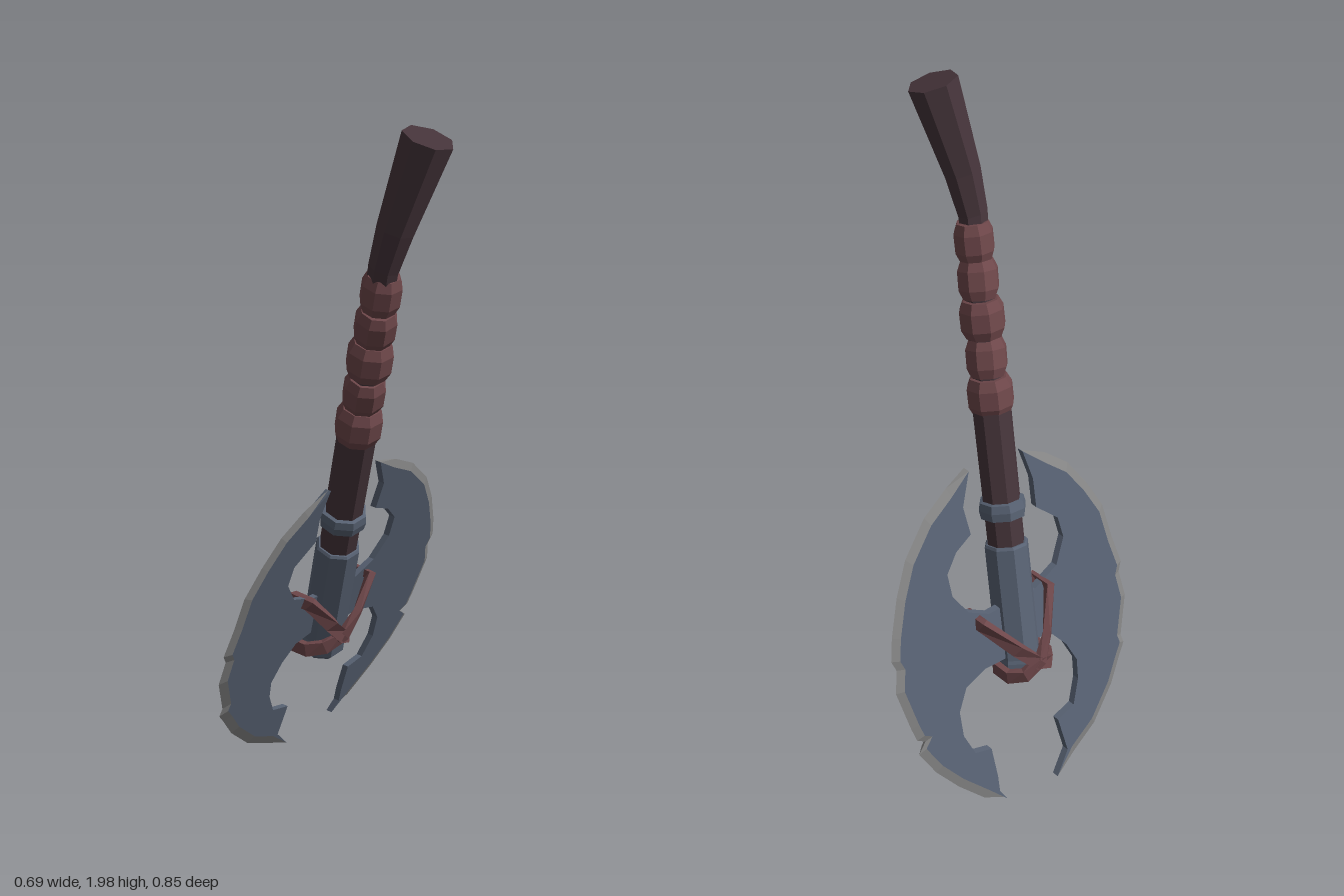
import * as THREE from 'three';

const mat = (name, color, side = THREE.FrontSide) => {
  const m = new THREE.MeshStandardMaterial({ color, side, flatShading: true });
  m.name = name;
  return m;
};

// Blade outlines as [z, y]
const outerLeft = [[.16, .94], [.24, .9], [.31, .84], [.36, .76], [.4, .675], [.41, .575], [.425, .49], [.41, .465],
  [.415, .39], [.37, .285], [.375, .26], [.35, .23], [.3, .165], [.21, .085], [.115, .04], [.035, .008]];
const lowerInner = [[.09, .065], [.08, .165], [.145, .18], [.18, .245], [.19, .3], [.165, .36], [.125, .41], [.055, .43],
  [-.045, .42], [-.125, .425], [-.2, .405], [-.24, .35], [-.245, .28], [-.22, .215], [-.165, .2], [-.165, .115], [-.17, .07]];
const outerRight = [[-.15, .035], [-.22, .07], [-.295, .145], [-.355, .22], [-.395, .295], [-.365, .32], [-.39, .335], [-.4, .375],
  [-.42, .49], [-.4, .55], [-.41, .58], [-.39, .64], [-.345, .735], [-.29, .82], [-.2, .9], [-.11, .945], [-.03, .965]];
const upperInner = [[-.075, .88], [-.07, .8], [-.13, .775], [-.175, .73], [-.175, .665], [-.135, .6], [-.07, .565],
  [.1, .56], [.19, .59], [.235, .655], [.23, .715], [.165, .775], [.175, .855]];

const THICK = 0.02;
const leanX = y => -0.345 + 0.323 * y; // blade plane leans with the handle
// Maps outline space (z, y, thickness) onto the leaning plane
const lean = new THREE.Matrix4().set(0, 0.323, -1, -0.345, 0, 1, 0, 0, 1, 0, 0, 0, 0, 0, 0, 1);

// Pull the outer edge toward the blade centre, keeping the tips in place
const inset = pts => pts.map(([z, y], i) =>
  i === 0 || i === pts.length - 1 ? [z, y] : [z * 0.945, 0.52 + (y - 0.52) * 0.945]);

function bladePlate() {
  const outline = [...inset(outerLeft), ...lowerInner, ...inset(outerRight), ...upperInner];
  const shape = new THREE.Shape(outline.map(p => new THREE.Vector2(...p)));
  const g = new THREE.ExtrudeGeometry(shape, { depth: THICK, bevelEnabled: false });
  g.translate(0, 0, -THICK / 2).applyMatrix4(lean);
  g.computeVertexNormals();
  return g;
}

// Sharpened bevel between the plate and the outer edge, on both faces
function cuttingEdge(outer) {
  const inner = inset(outer), pos = [];
  for (let i = 0; i < outer.length - 1; i++) {
    for (const s of [1, -1]) {
      const a = [...outer[i], 0], b = [...outer[i + 1], 0];
      const c = [...inner[i + 1], s * THICK / 2], d = [...inner[i], s * THICK / 2];
      pos.push(...(s > 0 ? [a, b, c, a, c, d] : [a, c, b, a, d, c]).flat());
    }
  }
  const g = new THREE.BufferGeometry();
  g.setAttribute('position', new THREE.Float32BufferAttribute(pos, 3));
  g.applyMatrix4(lean);
  g.computeVertexNormals();
  return g;
}

// Closed loop of flat strap; path points are [z, y, distance from the blade plane]
function strapLoop(mirror) {
  const half = [[.125, .56, .028], [.055, .475, .07], [.005, .42, .08], [-.045, .39, .062], [-.075, .38, .025]];
  const path = [...half, ...half.map(([z, y, o]) => [z, y, -o]).reverse()]
    .map(([z, y, o]) => new THREE.Vector3(o + leanX(y), y, mirror * z + 0.012));
  const n = path.length, pos = [], idx = [];
  path.forEach((p, i) => {
    const tangent = path[(i + 1) % n].clone().sub(path[(i + n - 1) % n]).normalize();
    const out = new THREE.Vector3(p.x - leanX(p.y), 0, p.z - 0.012);
    out.addScaledVector(tangent, -out.dot(tangent)).normalize();
    const wide = new THREE.Vector3().crossVectors(tangent, out);
    for (const [w, t] of [[-1, -1], [1, -1], [1, 1], [-1, 1]])
      pos.push(...p.clone().addScaledVector(wide, w * 0.019).addScaledVector(out, t * 0.01).toArray());
    for (let k = 0; k < 4; k++) {
      const a = i * 4 + k, b = i * 4 + (k + 1) % 4;
      const c = ((i + 1) % n) * 4 + (k + 1) % 4, d = ((i + 1) % n) * 4 + k;
      idx.push(a, b, c, a, c, d);
    }
  });
  const g = new THREE.BufferGeometry();
  g.setAttribute('position', new THREE.Float32BufferAttribute(pos, 3));
  g.setIndex(idx);
  g.computeVertexNormals();
  return g;
}

// Flared handle end that bends away from the shaft: rings [x, y, z, radius]
function flaredEnd() {
  const rings = [[.14, 1.55, .153, .04], [.158, 1.61, .163, .041], [.195, 1.72, .16, .05], [.272, 1.963, .127, .069]];
  const sides = 7, pos = [], idx = [];
  const up = new THREE.Vector3(.3, 1, -.13).normalize();
  const u = new THREE.Vector3(0, 0, 1).cross(up).negate().normalize();
  const v = new THREE.Vector3().crossVectors(u, up);
  rings.forEach(([x, y, z, r], i) => {
    for (let k = 0; k < sides; k++) {
      const a = k / sides * Math.PI * 2 + 0.3;
      pos.push(...new THREE.Vector3(x, y, z).addScaledVector(u, r * Math.cos(a)).addScaledVector(v, -r * Math.sin(a)).toArray());
      if (i === 0) continue;
      const a0 = (i - 1) * sides + k, a1 = (i - 1) * sides + (k + 1) % sides;
      idx.push(a0, a0 + sides, a1, a1, a0 + sides, a1 + sides);
    }
  });
  const top = (rings.length - 1) * sides;
  for (let k = 1; k < sides - 1; k++) idx.push(top, top + k + 1, top + k);
  const g = new THREE.BufferGeometry();
  g.setAttribute('position', new THREE.Float32BufferAttribute(pos, 3));
  g.setIndex(idx);
  g.computeVertexNormals();
  return g;
}

export function createModel() {
  const steel = mat('blue steel', 0x586273);
  const edge = mat('sharpened edge', 0x858585, THREE.DoubleSide);
  const wood = mat('dark wood', 0x45343a, THREE.DoubleSide);
  const leather = mat('red leather', 0x6e474a, THREE.DoubleSide);
  const model = new THREE.Group();
  model.name = 'battleAxe';
  const add = (parent, name, geometry, material) => {
    const mesh = new THREE.Mesh(geometry, material);
    mesh.name = name;
    parent.add(mesh);
    return mesh;
  };

  // Straight shaft, built upright then tilted along its axis
  const shaft = new THREE.Group();
  shaft.name = 'shaft';
  shaft.position.set(-0.225, 0.345, 0);
  shaft.quaternion.setFromUnitVectors(new THREE.Vector3(0, 1, 0), new THREE.Vector3(.375, 1.235, .155).normalize());
  model.add(shaft);
  const turned = (name, profile, material) =>
    add(shaft, name, new THREE.LatheGeometry(profile.map(p => new THREE.Vector2(...p)), 8, Math.PI / 8), material);

  turned('metalSleeve', [[0, 0], [.052, 0], [.066, .018], [.066, .05], [.063, .06], [.063, .39], [.058, .397], [0, .397]], steel);
  turned('woodenPole', [[.053, .38], [.055, .8], [.045, .84], [.04, 1.3]], wood);
  turned('metalCollar', [[.05, .472], [.064, .476], [.068, .5], [.064, .522], [.05, .526]], steel);

  // Leather grip: five bulging wraps, slightly askew
  [[.826, .065], [.932, .058], [1.043, .063], [1.15, .057], [1.255, .055]].forEach(([t, r], i) => {
    const wrap = turned('gripWrap' + (i + 1),
      [[.03, -.054], [r * .8, -.053], [r, -.026], [r, .026], [r * .8, .053], [.03, .054]], leather);
    wrap.position.y = t;
    wrap.rotation.set(i % 2 ? .07 : -.05, 0, i % 2 ? -.05 : .05);
  });

  add(model, 'flaredEnd', flaredEnd(), wood);

  // Double blade with its cutting edges
  add(model, 'bladePlate', bladePlate(), steel);
  add(model, 'leftCuttingEdge', cuttingEdge(outerLeft), edge);
  add(model, 'rightCuttingEdge', cuttingEdge(outerRight), edge);

  // Two crossed straps binding the blade to the shaft
  for (const s of [1, -1]) add(model, s > 0 ? 'leftStrap' : 'rightStrap', strapLoop(s), leather);
  return model;
}
